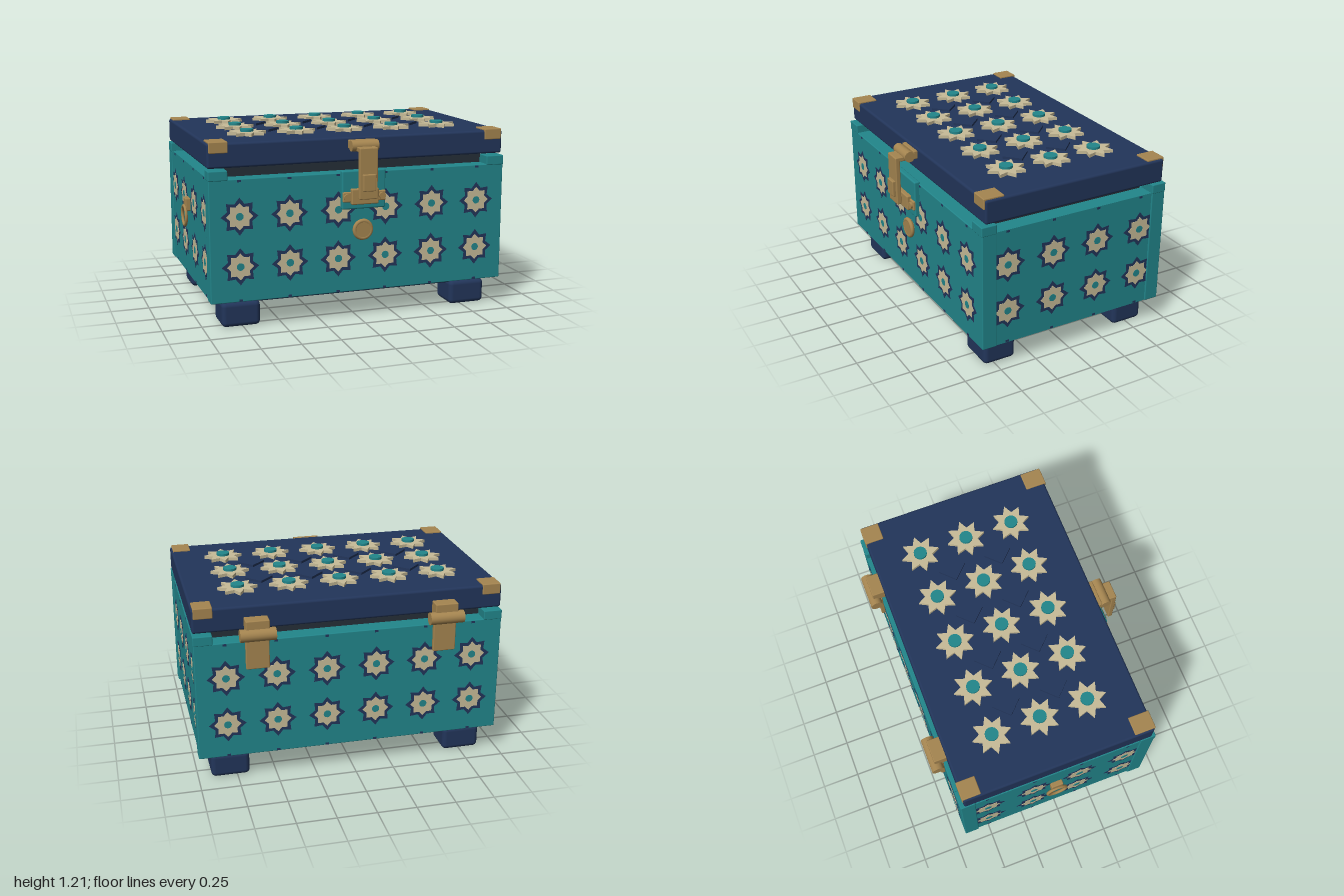
import * as THREE from 'three';
import { RoundedBoxGeometry } from 'three/addons/geometries/RoundedBoxGeometry.js';

const paint = (name, color) => {
  const m = new THREE.MeshStandardMaterial({ color });
  m.name = name;
  return m;
};

export function createModel() {
  const teal = paint('teal', 0x22868b), navy = paint('navy', 0x22355a);
  const cream = paint('cream', 0xc8bc98), brass = paint('brass', 0xa58550);
  const slate = paint('slate', 0x252f38);
  const root = new THREE.Group();
  root.name = 'chest';
  const CX = 0.0165, CZ = -0.024; // middle of the chest body

  const add = (geo, mat, name, x = 0, y = 0, z = 0, parent = root) => {
    const mesh = new THREE.Mesh(geo, mat);
    mesh.name = name;
    mesh.position.set(x, y, z);
    parent.add(mesh);
    return mesh;
  };
  // box from its limits, with optional rounding
  const box = (name, mat, x0, x1, y0, y1, z0, z1, r = 0) => {
    const s = [x1 - x0, y1 - y0, z1 - z0];
    const geo = r ? new RoundedBoxGeometry(...s, 3, r) : new THREE.BoxGeometry(...s);
    return add(geo, mat, name, (x0 + x1) / 2, (y0 + y1) / 2, (z0 + z1) / 2);
  };
  const starGeo = (outer, inner, depth) => {
    const pts = [];
    for (let i = 0; i < 16; i++) {
      const a = i * Math.PI / 8, r = i % 2 ? inner : outer;
      pts.push(new THREE.Vector2(Math.cos(a) * r, Math.sin(a) * r));
    }
    return new THREE.ExtrudeGeometry(new THREE.Shape(pts), { depth, bevelEnabled: false });
  };
  const discGeo = (r, depth, seg = 16) =>
    new THREE.CylinderGeometry(r, r, depth, seg).rotateX(Math.PI / 2).translate(0, 0, depth / 2);

  // body: end walls fit between the full-width front and back walls
  box('bodyCore', teal, CX - 0.972, CX + 0.972, 0.18, 0.95, -0.6, 0.55);
  box('frontWall', teal, -0.965, 0.998, 0.18, 0.952, 0.53, 0.628, 0.006);
  box('backWall', teal, -0.965, 0.998, 0.18, 0.952, -0.676, -0.58, 0.006);
  box('rim', slate, CX - 0.868, CX + 0.868, 0.94, 1.01, -0.565, 0.52);
  box('basePlate', navy, -0.88, 0.915, 0.145, 0.185, -0.58, 0.535, 0.01);

  // feet, rim corner blocks and lid corner caps
  for (const s of [-1, 1]) {
    const side = (a, b) => (s > 0 ? [CX + a, CX + b] : [CX - b, CX - a]);
    for (const front of [true, false]) {
      box('foot', navy, ...side(0.652, 0.9), 0, 0.16, ...(front ? [0.35, 0.57] : [-0.613, -0.395]), 0.03);
      box('rimCorner', teal, ...side(0.863, 0.983), 0.945, 1.007, ...(front ? [0.53, 0.632] : [-0.678, -0.58]), 0.006);
      box('lidCornerCap', brass, ...side(0.853, 0.971), 1.11, 1.18, ...(front ? [0.475, 0.612] : [-0.658, -0.535]), 0.006);
    }
  }

  // painted star panels on the four walls
  const outerStar = starGeo(0.118, 0.084, 0.002);
  const innerStar = starGeo(0.085, 0.064, 0.004);
  const starEye = discGeo(0.024, 0.006);
  const edgeMark = new THREE.BoxGeometry(0.022, 0.014, 0.004);
  const starPanel = (name, count, x, z, turn) => {
    const g = new THREE.Group();
    g.name = name;
    g.position.set(x, 0, z);
    g.rotation.y = turn;
    root.add(g);
    for (let i = 0; i < count; i++) {
      const u = (i - (count - 1) / 2) * 0.317;
      for (const y of [0.405, 0.72]) {
        add(outerStar, navy, 'starBorder', u, y, 0, g);
        add(innerStar, cream, 'starField', u, y, 0, g);
        add(starEye, teal, 'starEye', u, y, 0, g);
      }
      for (const y of [0.19, 0.94]) add(edgeMark, navy, 'edgeMark', u, y, 0, g);
    }
  };
  starPanel('frontStars', 6, CX, 0.628, 0);
  starPanel('backStars', 6, CX, -0.676, Math.PI);
  starPanel('leftStars', 4, CX + 0.972, CZ, Math.PI / 2);
  starPanel('rightStars', 4, CX - 0.972, CZ, -Math.PI / 2);

  // lid with raised stars and diamonds
  box('lid', navy, -0.965, 0.998, 1.017, 1.17, -0.652, 0.605, 0.015);
  const lidStar = starGeo(0.126, 0.076, 0.03).rotateX(-Math.PI / 2);
  const lidEye = new THREE.CylinderGeometry(0.043, 0.043, 0.047, 16);
  const diamond = new THREE.BoxGeometry(0.127, 0.03, 0.127).rotateY(Math.PI / 4);
  for (let i = 0; i < 5; i++) for (let j = 0; j < 3; j++) {
    const x = CX + (i - 2) * 0.327, z = -0.031 + (j - 1) * 0.316;
    add(lidStar, cream, 'lidStar', x, 1.161, z);
    add(lidEye, teal, 'lidStarEye', x, 1.183, z);
    if (i < 4 && j < 2) add(diamond, navy, 'lidDiamond', x + 0.1635, 1.17, z + 0.158);
  }

  // back hinges
  const barrel = (r, len) => new THREE.CylinderGeometry(r, r, len, 20).rotateZ(Math.PI / 2);
  for (const s of [-1, 1]) {
    const x = CX + s * 0.595;
    add(barrel(0.04, 0.22), brass, 'hingeBarrel', x, 1.008, -0.722);
    box('hingeLidStrap', brass, x - 0.073, x + 0.073, 1.02, 1.1, -0.732, -0.645, 0.006);
    box('hingeLeaf', brass, x - 0.073, x + 0.073, 0.775, 1.0, -0.703, -0.674, 0.006);
  }

  // front clasp: hinged strap over a keep on a backing plate
  box('claspMount', brass, CX - 0.088, CX + 0.088, 1.1, 1.155, 0.6, 0.63, 0.006);
  add(barrel(0.035, 0.176), brass, 'claspBarrel', CX, 1.122, 0.658);
  box('claspArm', brass, CX - 0.06, CX + 0.06, 1.09, 1.12, 0.66, 0.744, 0.006);
  box('claspStrap', brass, CX - 0.06, CX + 0.06, 0.797, 1.118, 0.714, 0.745, 0.006);
  box('claspButton', brass, CX - 0.042, CX + 0.042, 0.85, 0.956, 0.74, 0.765, 0.006);
  box('claspBackplate', teal, CX - 0.145, CX + 0.145, 0.722, 0.968, 0.62, 0.66, 0.01);
  box('claspKeep', brass, CX - 0.09, CX + 0.09, 0.755, 0.855, 0.65, 0.69, 0.008);
  box('claspKeepBar', brass, CX - 0.143, CX + 0.143, 0.77, 0.835, 0.65, 0.673, 0.008);
  for (const s of [-1, 1]) add(discGeo(0.022, 0.02), brass, 'claspRivet', CX + s * 0.117, 0.803, 0.667);

  // round boss below the clasp
  add(discGeo(0.055, 0.03, 28), brass, 'bossFace', CX, 0.585, 0.627);
  add(new THREE.TorusGeometry(0.055, 0.014, 10, 28), brass, 'bossRim', CX, 0.585, 0.645);

  // pull ring on the right end
  box('ringMount', brass, -0.988, -0.95, 0.64, 0.725, -0.07, 0.012, 0.008);
  const ring = add(new THREE.TorusGeometry(0.065, 0.01, 10, 28), brass, 'pullRing', -0.99, 0.605, -0.03);
  ring.rotation.y = Math.PI / 2;

  return root;
}
